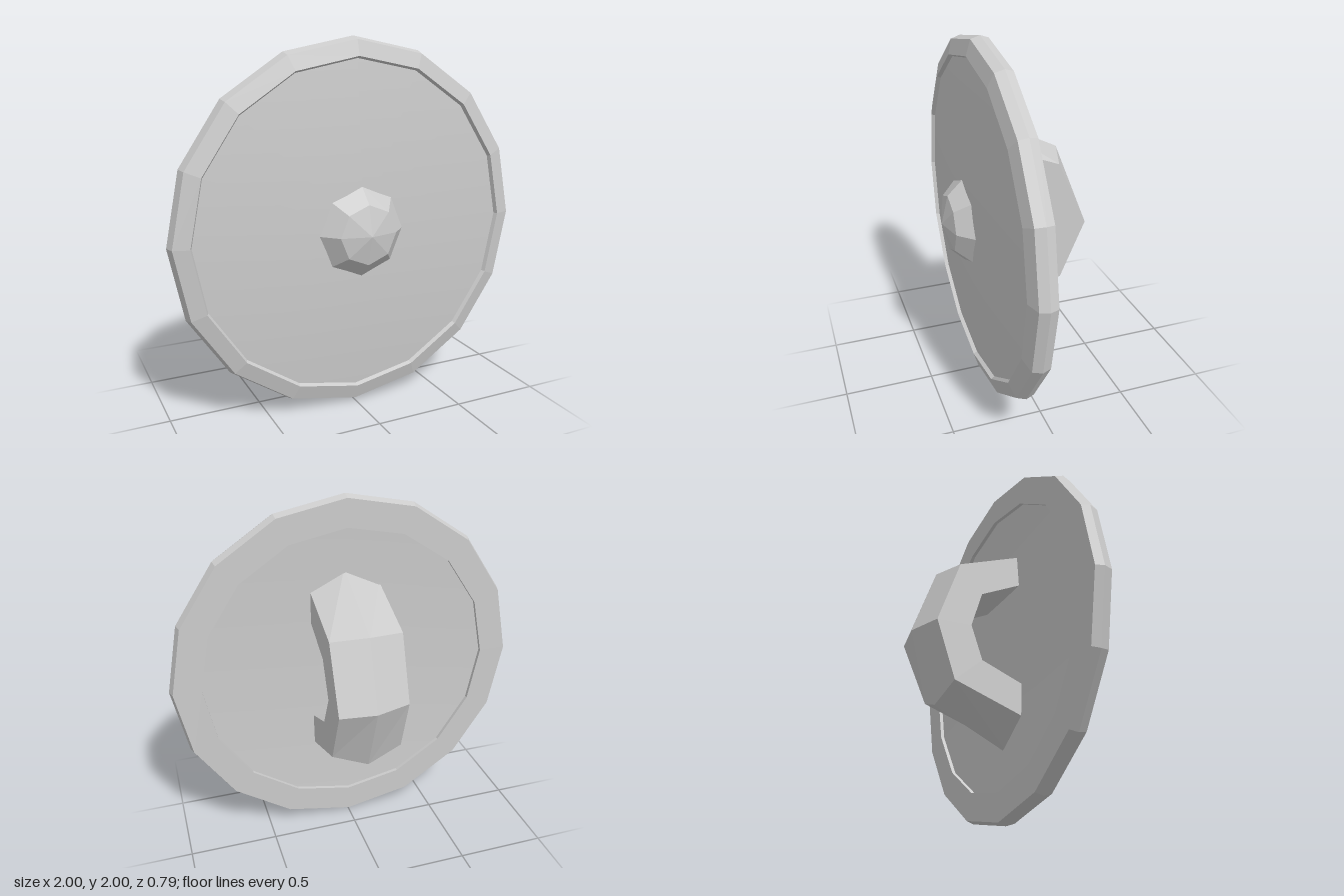
import * as THREE from 'three';
import { toCreasedNormals } from 'three/addons/utils/BufferGeometryUtils.js';

const material = new THREE.MeshStandardMaterial({ color: 0xcccccc });
const flatMaterial = new THREE.MeshStandardMaterial({ color: 0xcccccc, flatShading: true });

// Revolve a [radius, z] profile about the z axis, running from back to front.
function revolve(name, profile, sides, mat, crease) {
  let geometry = new THREE.LatheGeometry(profile.map(([r, z]) => new THREE.Vector2(r, z)), sides);
  geometry.rotateX(Math.PI / 2);
  if (crease) geometry = toCreasedNormals(geometry, crease);
  const mesh = new THREE.Mesh(geometry, mat);
  mesh.name = name;
  mesh.position.y = 1;
  return mesh;
}

// Arched grip: five-sided sections swept from top to bottom.
function createHandle() {
  const half = 0.2;
  // Each station: inner edge, outer edge, middle ridge as [z, y], then sideways skew.
  const stations = [
    { inner: [0.18, 1.31], outer: [0.18, 1.49], ridge: [0.18, 1.59], skew: 0 },
    { inner: [-0.07, 1.19], outer: [-0.2, 1.345], ridge: [-0.26, 1.37], skew: 0 },
    { inner: [-0.15, 0.99], outer: [-0.345, 0.985], ridge: [-0.395, 0.99], skew: 0.017 },
    { inner: [-0.07, 0.8], outer: [-0.225, 0.665], ridge: [-0.25, 0.59], skew: 0 },
    { inner: [0.18, 0.7], outer: [0.18, 0.52], ridge: [0.18, 0.38], skew: 0 },
  ];
  const positions = [];
  const index = [];
  for (const { inner, outer, ridge, skew } of stations) {
    const section = [[half, inner], [half, outer], [0, ridge], [-half, outer], [-half, inner]];
    for (const [x, [z, y]] of section) positions.push(x, y, z - Math.sign(x) * skew);
  }
  const n = 5;
  for (let i = 0; i < stations.length - 1; i++) {
    for (let j = 0; j < n; j++) {
      const a = i * n + j, b = i * n + (j + 1) % n;
      index.push(a, a + n, b, b, a + n, b + n);
    }
  }
  const geometry = new THREE.BufferGeometry();
  geometry.setAttribute('position', new THREE.Float32BufferAttribute(positions, 3));
  geometry.setIndex(index);
  geometry.computeVertexNormals();
  const mesh = new THREE.Mesh(geometry, flatMaterial);
  mesh.name = 'handle';
  return mesh;
}

export function createModel() {
  const group = new THREE.Group();
  group.name = 'roundShield';

  // Shallow cone plate, dished at the back
  group.add(revolve('plateBack', [[0, 0.18], [0.85, 0.135]], 16, material, 0.3));
  group.add(revolve('plateFront', [[0.9, 0.213], [0, 0.297]], 16, material, 0.3));

  // Bevelled rim, standing proud of the plate on both sides
  group.add(revolve('rim', [
    [0.83, 0.15], [0.83, 0.115], [0.985, 0.115], [1, 0.16],
    [0.983, 0.21], [0.9, 0.235], [0.885, 0.205],
  ], 16, flatMaterial));

  // Faceted boss in the middle of the front
  group.add(revolve('boss', [[0.25, 0.265], [0.16, 0.357], [0, 0.395]], 8, flatMaterial));

  group.add(createHandle());
  return group;
}
